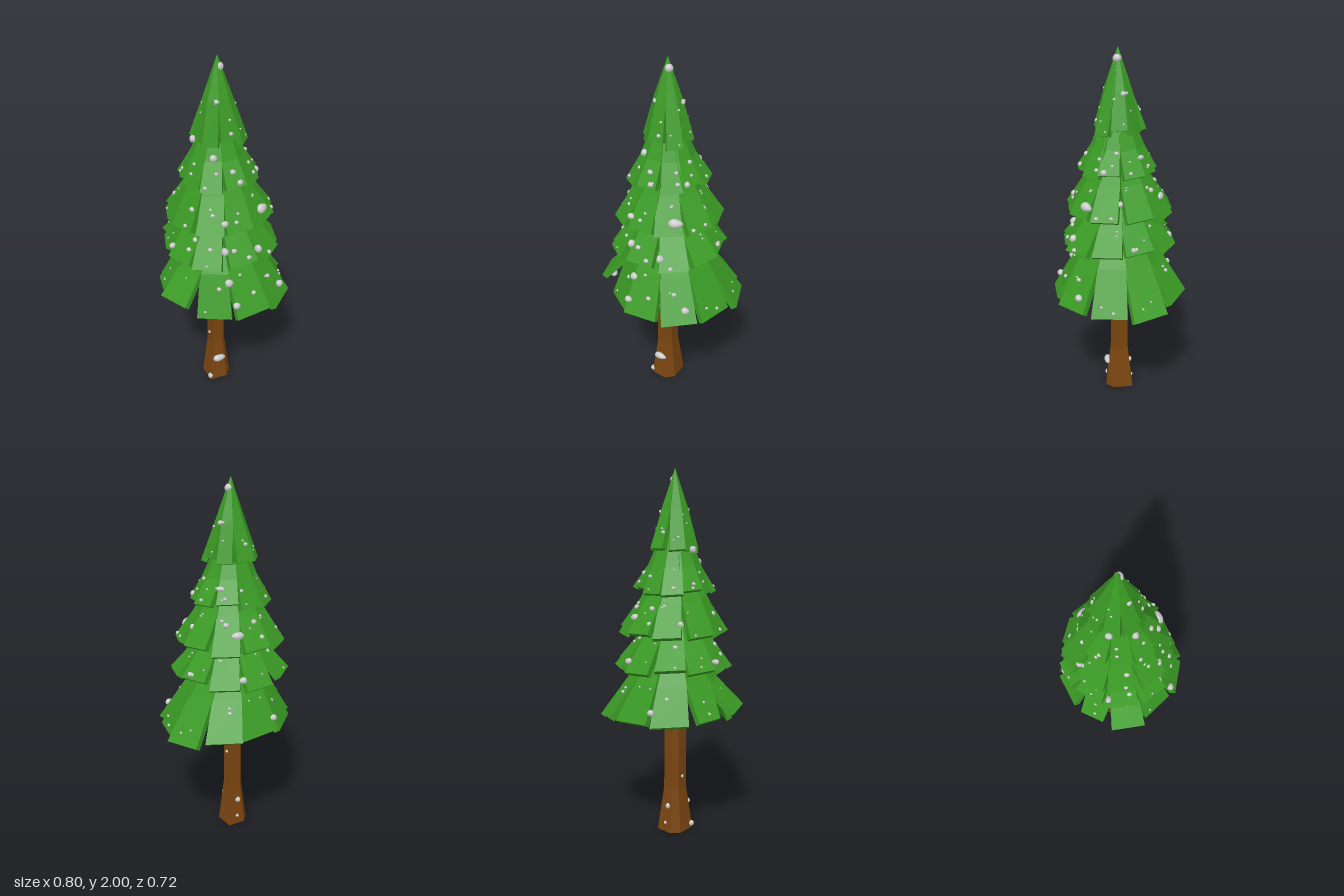
import * as THREE from 'three';

const mat = (color) => new THREE.MeshStandardMaterial({ color, flatShading: true });
const green = mat(0x3a9a24), brown = mat(0x7a4510);
brown.side = THREE.DoubleSide;
const snowMat = new THREE.MeshStandardMaterial({ color: 0xcccccc });
const AXIS = -0.03;
const { lerp, mapLinear } = THREE.MathUtils;

// small seeded generator
let seed = 7;
const rand = () => (seed = (seed * 16807) % 2147483647) / 2147483647;

// height of a bough profile (three [radius, height] points) at radius r
function heightAt([a, b, c], r) {
  return r < b[0] ? mapLinear(r, a[0], b[0], a[1], b[1]) : mapLinear(r, b[0], c[0], b[1], c[1]);
}

// plank with one bend; its upper half meets its neighbours, its lower half stands free
function bough(angle, t, rows, width) {
  const g = new THREE.BoxGeometry(1, 1, 1, 1, 1, 2);
  const p = g.attributes.position;
  const dx = Math.sin(angle), dz = Math.cos(angle);
  const [a, , c] = rows;
  const slope = Math.hypot(c[0] - a[0], a[1] - c[1]);
  const nr = (a[1] - c[1]) / slope, ny = (c[0] - a[0]) / slope;
  const chord = 2.04 * Math.tan(Math.PI / t.n);
  const widths = [a[0] * chord, rows[1][0] * chord, width];
  for (let i = 0; i < p.count; i++) {
    const k = p.getZ(i) + 0.5, row = Math.round(k * 2);
    const depth = (p.getY(i) - 0.5) * lerp(t.thick0, 0.034, k);
    const side = p.getX(i) * widths[row];
    const r = rows[row][0] + nr * depth;
    const y = rows[row][1] + ny * depth + side * 0.06;
    p.setXYZ(i, lerp(AXIS, t.cx, k) + dx * r + dz * side, y, dz * r - dx * side);
  }
  g.computeVertexNormals();
  const m = new THREE.Mesh(g, green);
  m.name = 'bough';
  return m;
}

// lowest tier first: bough count, profile from axis to outer edge, edge width, centre
const tiers = [
  { n: 10, rows: [[0.05, 1.19], [0.235, 0.88], [0.37, 0.68]], w: 0.195, cx: 0, thick0: 0.034 },
  { n: 10, rows: [[0.04, 1.37], [0.185, 1.12], [0.308, 0.97]], w: 0.16, cx: -0.02, thick0: 0.034 },
  { n: 10, rows: [[0.035, 1.58], [0.175, 1.32], [0.28, 1.15]], w: 0.148, cx: -0.024, thick0: 0.034 },
  { n: 10, rows: [[0.03, 1.76], [0.135, 1.5], [0.21, 1.375]], w: 0.115, cx: -0.025, thick0: 0.03 },
  { n: 8, rows: [[0.002, 2], [0.07, 1.79], [0.135, 1.585]], w: 0.085, cx: -0.026, thick0: 0.002 },
];

// outer edge centres of the lowest boughs: x, z, height, width
const lowBoughs = [
  [0.2, -0.31, 0.69, 0.195], [0.36, -0.14, 0.65, 0.2], [0.34, 0.083, 0.65, 0.195],
  [0.233, 0.283, 0.66, 0.195], [0.02, 0.355, 0.67, 0.2], [-0.182, 0.277, 0.65, 0.19],
  [-0.365, 0.143, 0.735, 0.19], [-0.345, -0.078, 0.71, 0.14], [-0.22, -0.26, 0.69, 0.205],
  [-0.01, -0.333, 0.69, 0.21],
];

// drop-shaped clump: a sphere narrowed towards one end
function snowBlob(x, y, z, size, stretch = 1.3, turn = 0) {
  const g = new THREE.SphereGeometry(size, 10, 7);
  const p = g.attributes.position;
  for (let i = 0; i < p.count; i++) {
    const f = 1 - 0.25 * p.getX(i) / size;
    p.setXYZ(i, p.getX(i) * stretch, p.getY(i) * f, p.getZ(i) * f);
  }
  g.computeVertexNormals();
  const m = new THREE.Mesh(g, snowMat);
  m.position.set(x, y, z);
  m.rotation.y = turn;
  m.name = 'snowClump';
  return m;
}

// larger clumps: x, z, tier, size, stretch, turn
const clumps = [
  [0.14, 0.18, 2, 0.025, 1.6, 0.5], [0.24, 0.235, 0, 0.019, 1.2, 0.4], [-0.1, 0.105, 3, 0.019, 1.1, 0],
  [-0.07, 0.325, 0, 0.018, 1.2, 0], [-0.16, -0.01, 4, 0.019, 1, 0], [-0.205, -0.16, 2, 0.018, 1.1, 0],
  [-0.065, -0.24, 2, 0.015, 1.4, -0.4], [0.06, -0.215, 2, 0.021, 1.7, -0.2], [0.06, -0.27, 1, 0.018, 1.2, 0],
  [-0.12, -0.295, 0, 0.017, 1.2, 0], [0.045, -0.02, 4, 0.014, 1, 0], [0.15, 0.09, 3, 0.017, 0.8, 0],
  [0.2, 0.01, 2, 0.017, 0.8, 0.3], [0.25, -0.07, 1, 0.011, 0.8, 0], [0.1, -0.1, 3, 0.013, 2.2, -0.9],
  [-0.3, 0.16, 0, 0.02, 1.2, -0.7], [-0.3, 0.015, 1, 0.015, 1.5, 0], [-0.1, 0.235, 2, 0.018, 1.2, 0],
  [0.01, 0.19, 3, 0.013, 0.9, 0], [0.155, 0.25, 1, 0.012, 1.1, 0.5], [0.09, 0.25, 1, 0.022, 0.9, 0.4],
  [-0.1, 0.24, 1, 0.022, 0.9, 0], [-0.08, 0.25, 0, 0.022, 1.1, 0],
];

// flared six-sided trunk, open at the foot and widest along one diagonal
function makeTrunk() {
  const profile = [[1, 0], [0.63, 0.25], [0.6, 0.65], [0.4, 1.0], [0, 1.5]]
    .map(([r, y]) => new THREE.Vector2(r, y));
  const outline = [[0.45, 1], [1, 0.45], [0.92, -0.92], [-0.45, -1], [-1, -0.45], [-0.92, 0.92]];
  const g = new THREE.LatheGeometry(profile, 6);
  const p = g.attributes.position;
  for (let i = 0; i < p.count; i++) {
    const r = profile[i % profile.length].x;
    const [x, z] = outline[Math.floor(i / profile.length) % 6];
    p.setXYZ(i, x * r * 0.072, p.getY(i), z * r * 0.08);
  }
  g.computeVertexNormals();
  const trunk = new THREE.Mesh(g, brown);
  trunk.position.set(-0.041, 0, -0.009);
  trunk.name = 'trunk';
  return trunk;
}

export function createModel() {
  const tree = new THREE.Group();
  tree.name = 'pineTree';
  tree.add(makeTrunk());
  const snow = new THREE.Group();
  snow.name = 'snow';

  // layers of boughs, each bough with a few flecks of snow
  tiers.forEach((t, level) => {
    const layer = new THREE.Group();
    layer.name = 'boughLayer' + (level + 1);
    const [top, bend, edge] = t.rows;
    for (let i = 0; i < t.n; i++) {
      let angle = (i / t.n) * Math.PI * 2 + (rand() - 0.5) * 0.1;
      let end = [edge[0] + (rand() - 0.5) * 0.03, edge[1] + (rand() - 0.5) * 0.035];
      let width = t.w;
      if (level === 0) {
        const [x, z, y, w] = lowBoughs[i];
        angle = Math.atan2(x, z);
        end = [Math.hypot(x, z), y];
        width = w;
      }
      const rows = [top, bend, end];
      layer.add(bough(angle, t, rows, width));
      for (let j = 0; j < 2; j++) {
        const r = lerp(bend[0], end[0], 0.95 * rand());
        const side = (rand() - 0.5) * width * 0.6;
        const x = t.cx + Math.sin(angle) * r + Math.cos(angle) * side;
        const z = Math.cos(angle) * r - Math.sin(angle) * side;
        snow.add(snowBlob(x, heightAt(rows, r), z, 0.005 + 0.009 * rand() ** 2, 1.2, angle));
      }
    }
    tree.add(layer);
  });

  // large clumps on boughs, tip and trunk
  for (const [x, z, level, size, stretch, turn] of clumps) {
    const t = tiers[level], r = Math.min(Math.hypot(x - t.cx, z), t.rows[2][0]);
    snow.add(snowBlob(x, heightAt(t.rows, r), z, size, stretch, turn));
  }
  const loose = [
    [-0.018, 1.945, 0.004, 0.023, 0.9], [-0.05, 0.15, 0.06, 0.02, 2], [-0.05, 0.52, 0.038, 0.016, 1],
    [-0.107, 0.025, 0.055, 0.016, 1], [-0.04, 0.15, -0.068, 0.016, 1], [-0.085, 0.32, 0, 0.009, 1],
    [0.004, 0.46, -0.02, 0.009, 1], [-0.03, 0.05, -0.08, 0.01, 1], [-0.075, 0.6, 0.02, 0.01, 1],
  ];
  for (const blob of loose) snow.add(snowBlob(...blob));
  tree.add(snow);
  return tree;
}
